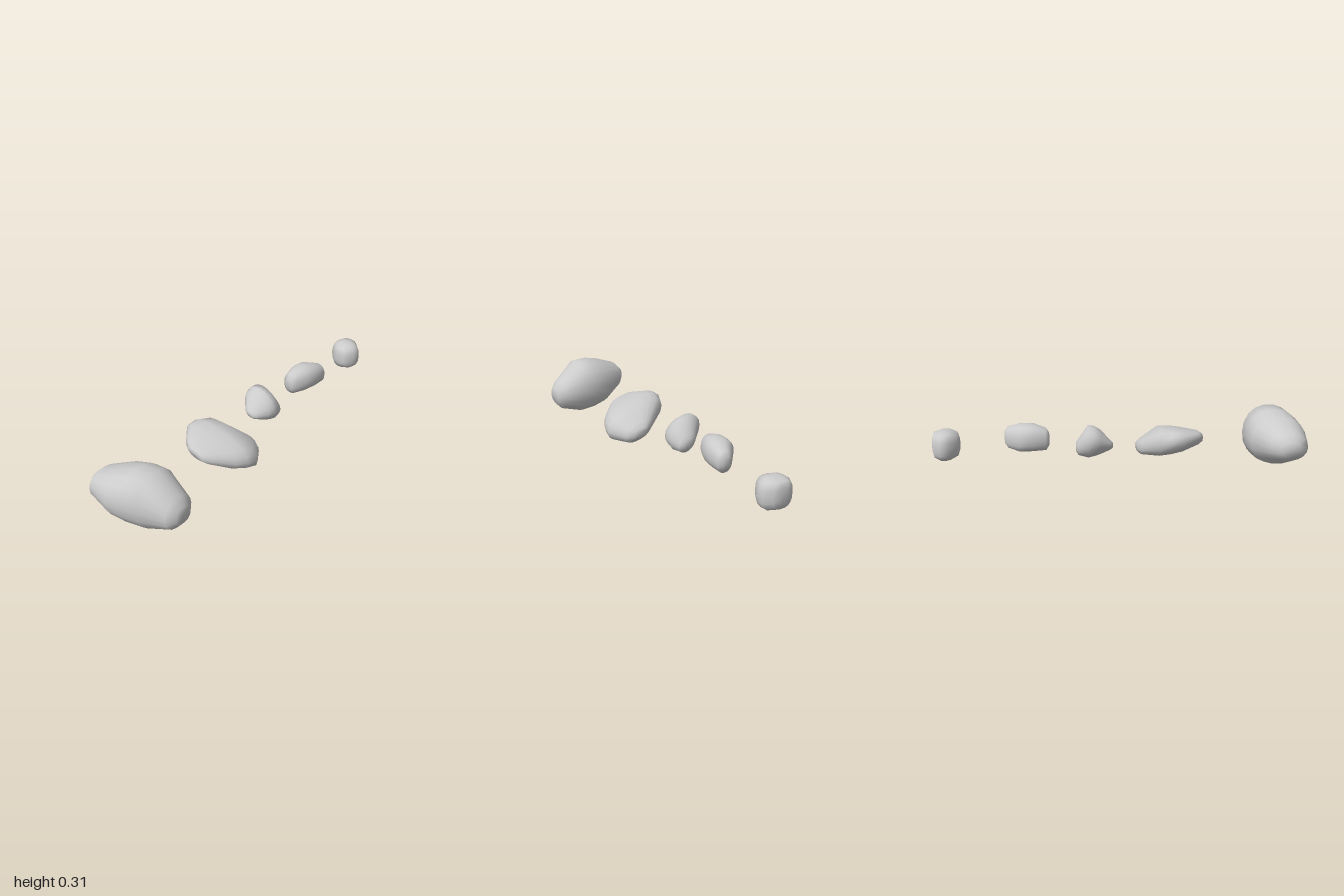
import * as THREE from 'three';

const SIDES = 18;
const TIP = 0.55; // size of each blunt end relative to the ring beside it

// Fills out four rings [side min, side max, y min, y max] with a rounded middle
// ring and a shrunken ring at either end, each placed at a fraction of the length.
function fillRings([a, b, c, d]) {
  const shrink = ([s0, s1, y0, y1]) => {
    const s = (s0 + s1) / 2, y = (y0 + y1) / 2;
    return [s + (s0 - s) * TIP, s + (s1 - s) * TIP, y + (y0 - y) * TIP, y + (y1 - y) * TIP];
  };
  const middle = b.map((v, i) => (9 * (v + c[i]) - a[i] - d[i]) / 16);
  return [[0, shrink(a)], [0.07, a], [0.33, b], [0.5, middle], [0.67, c], [0.93, d], [1, shrink(d)]];
}

// Skins the rings into a closed, smooth stone lying along x or z.
// "power" squares up the cross-section, "tilt" slants it across its width.
function stone(name, axis, start, end, power, tilt, profile) {
  const rings = fillRings(profile);
  const positions = [], index = [];
  const alongX = axis === 'x';
  const push = (along, side, y) =>
    alongX ? positions.push(along, y, side) : positions.push(side, y, along);
  const face = (a, b, c) => (alongX ? index.push(a, c, b) : index.push(a, b, c));
  const round = (v) => Math.sign(v) * Math.abs(v) ** (2 / power);

  for (const [t, [s0, s1, y0, y1]] of rings) {
    const halfWidth = (s1 - s0) / 2, halfHeight = (y1 - y0) / 2;
    const slant = Math.sign(tilt) * Math.min(Math.abs(tilt) * halfWidth, halfHeight * 0.6);
    const rise = Math.sqrt(halfHeight ** 2 - slant ** 2);
    for (let j = 0; j < SIDES; j++) {
      const angle = (j / SIDES) * Math.PI * 2;
      const u = round(Math.cos(angle)), v = round(Math.sin(angle));
      push(start + (end - start) * t,
        (s0 + s1) / 2 + halfWidth * u, (y0 + y1) / 2 + rise * v + slant * u);
    }
  }

  // Centre points closing the two ends
  const last = rings.length - 1;
  const startTip = rings.length * SIDES;
  for (const [t, [s0, s1, y0, y1]] of [rings[0], rings[last]]) {
    push(start + (end - start) * t, (s0 + s1) / 2, (y0 + y1) / 2);
  }

  for (let j = 0; j < SIDES; j++) {
    const k = (j + 1) % SIDES;
    for (let i = 0; i < last; i++) {
      const a = i * SIDES + j, b = i * SIDES + k;
      face(a, b, b + SIDES);
      face(a, b + SIDES, a + SIDES);
    }
    face(startTip, k, j);
    face(startTip + 1, last * SIDES + j, last * SIDES + k);
  }

  const geometry = new THREE.BufferGeometry();
  geometry.setAttribute('position', new THREE.Float32BufferAttribute(positions, 3));
  geometry.setIndex(index);
  geometry.computeVertexNormals();
  const mesh = new THREE.Mesh(geometry, new THREE.MeshStandardMaterial({ color: 0xcccccc }));
  mesh.name = name;
  return mesh;
}

export function createModel() {
  const group = new THREE.Group();
  group.name = 'rocks';

  // Large egg-shaped boulder, running front to back
  group.add(stone('largeBoulder', 'z', -0.24, 0.24, 2.15, 0, [
    [-0.98, -0.785, 0.095, 0.243], [-1, -0.705, 0.028, 0.293],
    [-0.96, -0.686, 0.004, 0.316], [-0.9, -0.715, 0.045, 0.215]]));

  // Flat slab sloping down to the front
  group.add(stone('flatSlab', 'x', -0.447, -0.097, 2.4, -0.25, [
    [-0.09, 0.08, 0.117, 0.208], [-0.165, 0.168, 0.072, 0.231],
    [-0.14, 0.213, 0.036, 0.225], [-0.01, 0.15, 0.038, 0.143]]));

  // Peaked rock, highest towards the back
  group.add(stone('peakedRock', 'x', 0.038, 0.235, 2, -0.25, [
    [-0.08, 0, 0.112, 0.17], [-0.125, 0.045, 0.088, 0.232],
    [-0.132, 0.06, 0.067, 0.258], [-0.07, 0.035, 0.075, 0.175]]));

  // Low oblong rock
  group.add(stone('oblongRock', 'x', 0.378, 0.618, 2.3, 0, [
    [-0.068, 0.022, 0.115, 0.238], [-0.081, 0.055, 0.109, 0.258],
    [-0.076, 0.07, 0.106, 0.255], [-0.02, 0.07, 0.115, 0.232]]));

  // Small blocky stone
  group.add(stone('smallBlock', 'x', 0.86, 1, 2.7, 0, [
    [-0.045, 0.055, 0.083, 0.21], [-0.078, 0.08, 0.067, 0.225],
    [-0.088, 0.085, 0.064, 0.226], [-0.065, 0.05, 0.08, 0.22]]));

  return group;
}
